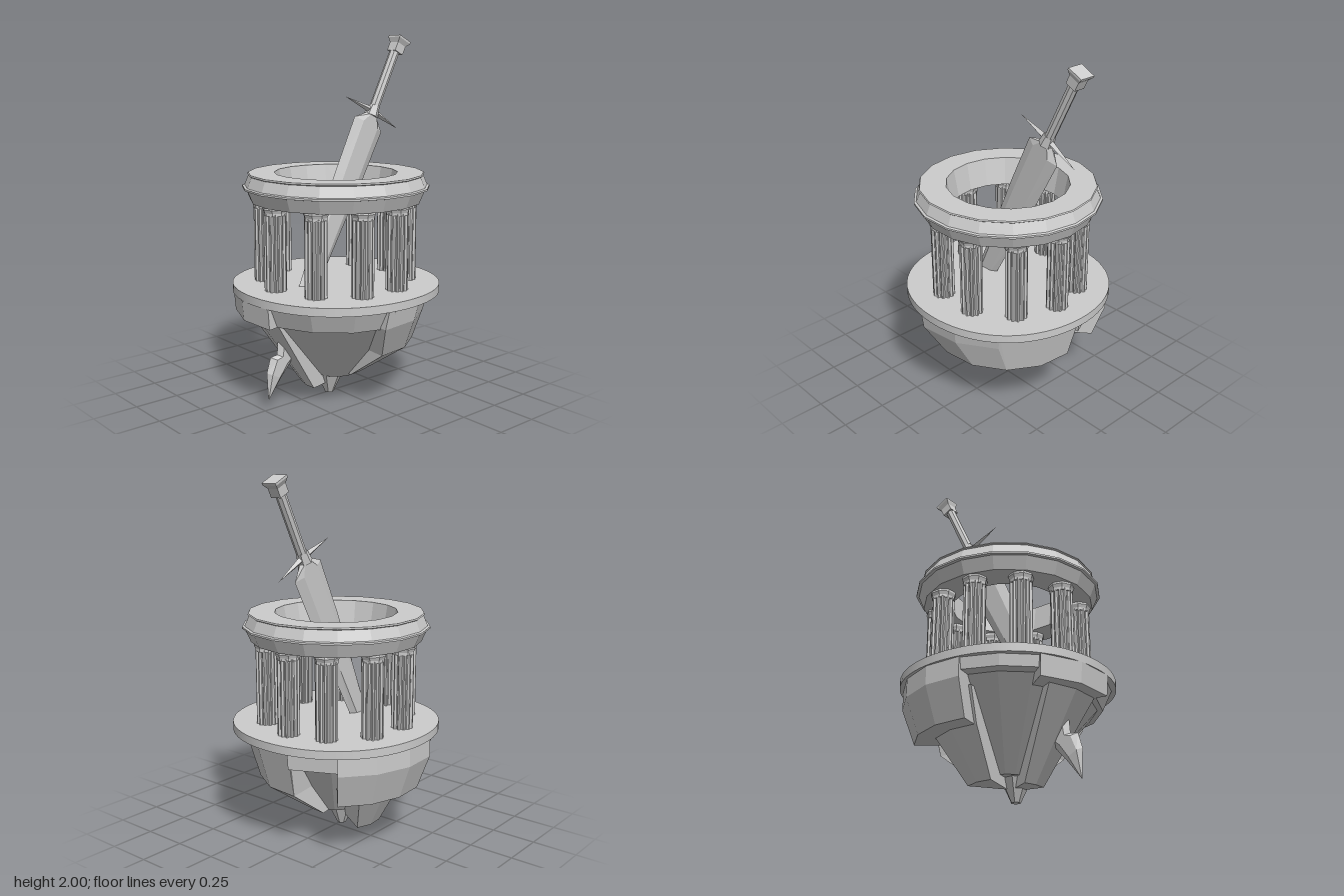
import * as THREE from 'three';
import { ConvexGeometry } from 'three/addons/geometries/ConvexGeometry.js';

const flat = new THREE.MeshStandardMaterial({ color: 0xcccccc, flatShading: true });
const thin = new THREE.MeshStandardMaterial({ color: 0xcccccc, flatShading: true, side: THREE.DoubleSide });
const smooth = new THREE.MeshStandardMaterial({ color: 0xcccccc });

function add(parent, name, geometry, material = flat, x = 0, y = 0, z = 0) {
  const mesh = new THREE.Mesh(geometry, material);
  mesh.name = name;
  mesh.position.set(x, y, z);
  parent.add(mesh);
  return mesh;
}

// Wedge of rock between two bearings (degrees from +z towards +x); profile is [radius, y, centre x, centre z]
function wedge(from, to, profile) {
  const points = [];
  const steps = Math.max(1, Math.round((to - from) / 24));
  for (const [r, y, cx = 0, cz = 0] of profile) {
    points.push(new THREE.Vector3(cx, y, cz));
    for (let i = 0; i <= steps; i++) {
      const a = THREE.MathUtils.degToRad(from + (to - from) * i / steps);
      points.push(new THREE.Vector3(cx + r * Math.sin(a), y, cz + r * Math.cos(a)));
    }
  }
  return new ConvexGeometry(points);
}

function createRock() {
  const rock = new THREE.Group();
  rock.name = 'floatingRock';
  // Upper cliffs, ending at different heights
  add(rock, 'frontCliff', wedge(-6, 98, [[0.55, 0.6, -0.05], [0.53, 0.5, -0.06], [0.43, 0.32]]));
  add(rock, 'sideCliff', wedge(98, 132, [[0.53, 0.6, -0.03], [0.52, 0.49, -0.03]]));
  add(rock, 'backCliff', wedge(130, 194, [[0.56, 0.6], [0.56, 0.5], [0.49, 0.31]]));
  add(rock, 'backRightCliff', wedge(194, 235, [[0.55, 0.6], [0.54, 0.54]]));
  add(rock, 'rightCliff', wedge(235, 282, [[0.57, 0.6], [0.56, 0.49]]));
  add(rock, 'frontRightCliff', wedge(282, 354, [[0.55, 0.6], [0.5, 0.49]]));
  // Tapering underside with two long ridges
  add(rock, 'frontUnderside', wedge(-6, 98, [[0.43, 0.32], [0.18, 0.135, -0.01, -0.02]]));
  add(rock, 'sideUnderside', wedge(98, 152, [[0.38, 0.49], [0.12, 0.135]]));
  add(rock, 'backRidge', wedge(148, 196, [[0.46, 0.49], [0.39, 0.31], [0.21, 0.065, -0.03, -0.04]]));
  add(rock, 'backRightUnderside', wedge(192, 255, [[0.47, 0.54], [0.14, 0.12]]));
  add(rock, 'rightRidge', wedge(243, 282, [[0.49, 0.49], [0.2, 0.065]]));
  add(rock, 'frontRightUnderside', wedge(280, 354, [[0.47, 0.49], [0.13, 0.12]]));
  add(rock, 'lowestPoint', new THREE.CylinderGeometry(0.12, 0.025, 0.2, 7), flat, -0.05, 0.1, 0);
  return rock;
}

// Round slab that bulges very slightly on the diagonals
function floorGeometry() {
  const geometry = new THREE.CylinderGeometry(0.565, 0.565, 0.045, 64);
  const p = geometry.attributes.position;
  for (let i = 0; i < p.count; i++) {
    const bulge = 1 + 0.02 * Math.sin(2 * Math.atan2(p.getX(i), p.getZ(i))) ** 2;
    p.setXYZ(i, p.getX(i) * bulge, p.getY(i), p.getZ(i) * bulge);
  }
  return geometry;
}

function createTemple() {
  const temple = new THREE.Group();
  temple.name = 'temple';
  add(temple, 'floor', floorGeometry(), smooth, 0, 0.6225, 0);

  // Faceted ring carried by the columns
  const ring = [[0.31, 1.1], [0.47, 1.1], [0.5, 1.17], [0.515, 1.173], [0.515, 1.183], [0.502, 1.187],
    [0.478, 1.243], [0.486, 1.248], [0.482, 1.255], [0.338, 1.255], [0.31, 1.1]];
  add(temple, 'ring', new THREE.LatheGeometry(ring.map(p => new THREE.Vector2(...p)), 18, Math.PI / 2), thin);

  // Fluted shaft outline
  const outline = [];
  for (let i = 0; i < 48; i++) {
    const r = i % 4 < 2 ? 0.06 : 0.05;
    const a = i / 48 * Math.PI * 2;
    outline.push(new THREE.Vector2(r * Math.cos(a), r * Math.sin(a)));
  }
  const shaft = new THREE.ExtrudeGeometry(new THREE.Shape(outline), { depth: 0.425, bevelEnabled: false });
  shaft.rotateX(-Math.PI / 2);
  const capital = new THREE.LatheGeometry([[0, 1.055], [0.062, 1.055], [0.062, 1.07], [0.069, 1.088], [0.064, 1.105], [0, 1.105]]
    .map(p => new THREE.Vector2(...p)), 8);

  // Columns, the rear ones turned slightly around the ring
  for (let i = 0; i < 10; i++) {
    const bearing = (i + 0.5) * Math.PI / 5;
    const a = bearing - (i > 2 && i < 8 ? 0.08 : 0.02);
    const column = new THREE.Group();
    column.name = 'column';
    column.position.set(0.392 * Math.sin(a), 0, 0.392 * Math.cos(a) - 0.005);
    column.rotation.y = a;
    add(column, 'shaft', shaft, flat, 0, 0.64, 0);
    add(column, 'capital', capital);
    temple.add(column);
  }
  return temple;
}

// Blade lofted from six-sided sections; each station is [along, left edge, right edge]
function bladeGeometry() {
  const stations = [[-0.017, -0.035, 0.045], [-0.077, -0.109, 0.116], [-0.4, -0.103, 0.105],
    [-0.7, -0.088, 0.085], [-1.05, -0.066, 0.063], [-1.39, -0.069, 0.065], [-1.45, -0.045, 0.066],
    [-1.475, -0.082, 0.062], [-1.56, -0.068, 0.038], [-1.689, 0.006, 0.01]];
  const position = [];
  const index = [];
  stations.forEach(([v, l, r], s) => {
    const t = s === stations.length - 1 ? 0.003 : 0.023;
    const w = (r - l) * 0.24;
    position.push(l, v, 0, l + w, v, t, r - w, v, t, r, v, 0, r - w, v, -t, l + w, v, -t);
    if (s === 0) return;
    for (let i = 0; i < 6; i++) {
      const a = (s - 1) * 6 + i, b = (s - 1) * 6 + (i + 1) % 6;
      index.push(a, a + 6, b, b, a + 6, b + 6);
    }
  });
  // End caps
  const e = (stations.length - 1) * 6;
  for (let i = 1; i < 5; i++) index.push(0, i, i + 1, e, e + i + 1, e + i);
  const geometry = new THREE.BufferGeometry();
  geometry.setAttribute('position', new THREE.Float32BufferAttribute(position, 3));
  geometry.setIndex(index);
  geometry.computeVertexNormals();
  return geometry;
}

function createSword() {
  const sword = new THREE.Group();
  sword.name = 'sword';
  sword.position.set(0.28, 1.57, -0.013);
  sword.rotation.z = -0.462;
  add(sword, 'blade', bladeGeometry(), thin);
  add(sword, 'guardCentre', new THREE.CylinderGeometry(0.032, 0.042, 0.06, 6), flat, 0, 0.005, 0);

  // Pointed guard arms
  for (const side of [-1, 1]) {
    const arm = add(sword, 'guardArm', new THREE.ConeGeometry(0.02, 0.21, 4), flat, side * 0.115, -0.001, 0);
    arm.rotation.z = -side * (Math.PI / 2 + 0.06);
  }

  add(sword, 'grip', new THREE.CylinderGeometry(0.028, 0.028, 0.37, 8), flat, 0.003, 0.2, 0);

  // Square pommel with a flared cap
  const pommel = new THREE.Group();
  pommel.name = 'pommel';
  pommel.position.set(0.008, 0.37, 0);
  pommel.rotation.y = Math.PI / 4;
  add(pommel, 'pommelBlock', new THREE.CylinderGeometry(0.046, 0.046, 0.05, 4), flat, 0, 0.025, 0);
  add(pommel, 'pommelFlare', new THREE.CylinderGeometry(0.065, 0.046, 0.025, 4), flat, 0, 0.0625, 0);
  add(pommel, 'pommelCap', new THREE.CylinderGeometry(0.065, 0.065, 0.012, 4), flat, 0, 0.081, 0);
  sword.add(pommel);
  return sword;
}

export function createModel() {
  const model = new THREE.Group();
  model.name = 'floatingTemple';
  model.add(createRock(), createTemple(), createSword());
  return model;
}
